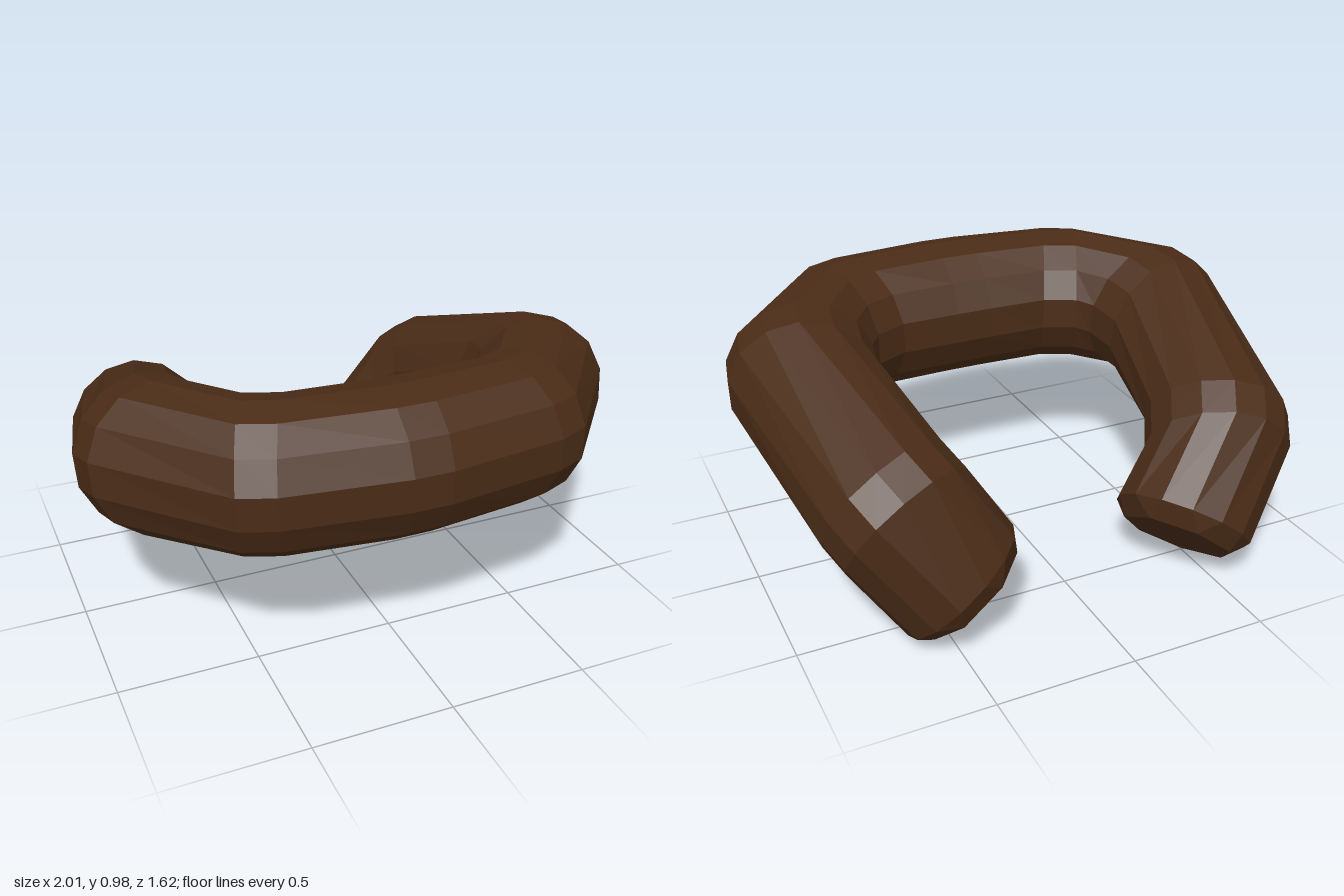
import * as THREE from 'three';

const SIDES = 14;
const V = (a) => new THREE.Vector3(...a);

// Bends of one half of the bar: centre, direction through the bend, radius
const bends = [
  [[0.46, 0.725, 0.49], [0.92, -0.02, -0.4], 0.265],
  [[0.73, 0.70, 0.165], [0.19, -0.17, -0.97], 0.27],
  [[0.63, 0.48, -0.48], [-0.40, -0.56, -0.73], 0.262],
];

// Cross-sections from the middle to one tip; every bend is bevelled into two
function halfSections() {
  const list = [{ c: V([0.07, 0.725, 0.547]), n: V([1, 0, 0]), r: 0.268 }];
  for (const [centre, dir, r] of bends) {
    const n = V(dir).normalize();
    for (const s of [-0.065, 0.065]) list.push({ c: V(centre).addScaledVector(n, s), n, r });
  }
  const n = V([-0.58, -0.71, -0.39]).normalize();
  list.push({ c: V([0.44, 0.2, -0.58]), n, r: 0.255 });
  list.push({ c: V([0.405, 0.155, -0.605]), n, r: 0.205, paired: true });
  return list;
}

// Turn the sections into rings of points, carrying the up direction along
function halfRings() {
  const up = new THREE.Vector3(0, 1, 0);
  return halfSections().map(({ c, n, r, paired }) => {
    up.addScaledVector(n, -up.dot(n)).normalize();
    const side = new THREE.Vector3().crossVectors(n, up);
    return Array.from({ length: SIDES }, (_, j) => {
      const k = paired ? Math.floor(j / 2) * 2 + 0.5 : j; // seven-sided tip
      const a = (k / SIDES) * Math.PI * 2;
      return c.clone().addScaledVector(up, r * Math.cos(a)).addScaledVector(side, r * Math.sin(a));
    });
  });
}

function barGeometry() {
  const half = halfRings();
  const mirrored = half.map((ring) => ring.map((p) => new THREE.Vector3(-p.x, p.y, p.z))).reverse();
  const rings = [...mirrored, ...half];
  const pos = [];
  const tri = (...pts) => pts.forEach((p) => pos.push(p.x, p.y, p.z));
  const last = rings.length - 1;
  for (let j = 0; j < SIDES; j++) {
    const k = (j + 1) % SIDES;
    for (let i = 0; i < last; i++) {
      const [a, b, c, d] = [rings[i][j], rings[i][k], rings[i + 1][k], rings[i + 1][j]];
      if (a !== b && !a.equals(b)) tri(a, b, c);
      if (!c.equals(d)) tri(a, c, d);
    }
    // Flat end faces
    if (j > 0 && j < SIDES - 1) {
      tri(rings[last][0], rings[last][j], rings[last][k]);
      tri(rings[0][0], rings[0][k], rings[0][j]);
    }
  }
  const geo = new THREE.BufferGeometry();
  geo.setAttribute('position', new THREE.Float32BufferAttribute(pos, 3));
  geo.computeVertexNormals();
  return geo;
}

export function createModel() {
  const group = new THREE.Group();
  group.name = 'curvedBar';
  const material = new THREE.MeshStandardMaterial({ color: 0x4a2c17, flatShading: true });
  const bar = new THREE.Mesh(barGeometry(), material);
  bar.name = 'bentBar';
  group.add(bar);
  return group;
}
